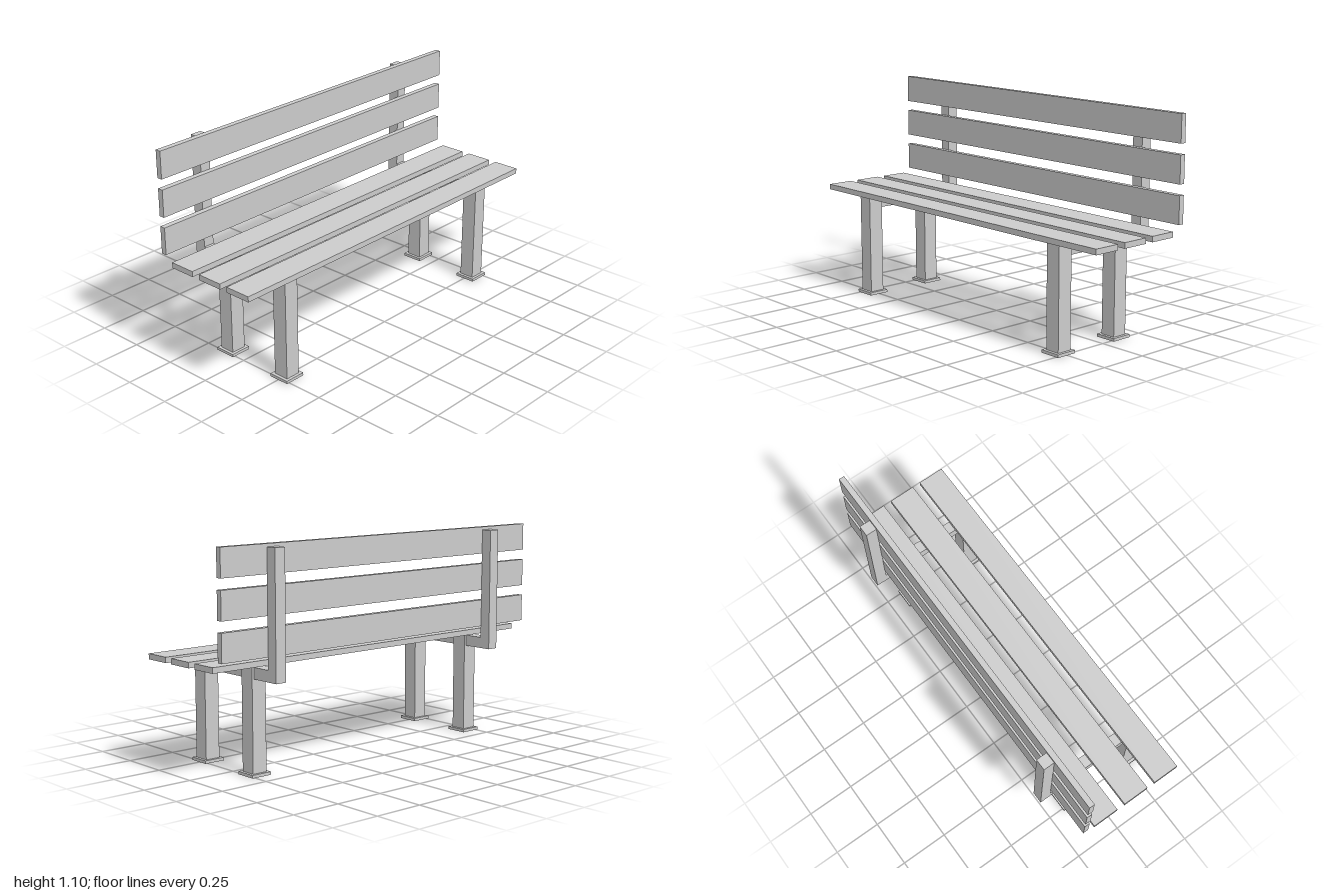
import * as THREE from 'three';

export function createModel() {
  const bench = new THREE.Group();
  bench.name = 'bench';
  const material = new THREE.MeshStandardMaterial({ color: 0xcccccc, flatShading: true });

  const add = (name, geometry, x, y, z) => {
    const mesh = new THREE.Mesh(geometry, material);
    mesh.name = name;
    mesh.position.set(x, y, z);
    bench.add(mesh);
  };

  // Seat and backrest slats, running the full length along z
  const seatSlat = new THREE.BoxGeometry(0.139, 0.028, 2);
  for (const x of [-0.122, 0.062, 0.245]) add('seatSlat', seatSlat, x, 0.541, 0);
  const backSlat = new THREE.BoxGeometry(0.029, 0.138, 2);
  for (const y of [0.649, 0.839, 1.029]) add('backSlat', backSlat, -0.246, y, 0);

  // L-shaped bracket: seat beam and back post in one piece
  const width = 0.058;
  const outline = [
    [-0.317, 0.464], [0.22, 0.464], [0.22, 0.52],
    [-0.259, 0.52], [-0.259, 1.083], [-0.317, 1.083],
  ].map(([x, y]) => new THREE.Vector2(x, y));
  const bracket = new THREE.ExtrudeGeometry(new THREE.Shape(outline), {
    depth: width, bevelEnabled: false,
  });
  bracket.translate(0, 0, -width / 2);

  // Legs with foot plates at both ends
  const leg = new THREE.BoxGeometry(0.079, 0.507, 0.079);
  const foot = new THREE.BoxGeometry(0.109, 0.015, 0.109);
  for (const z of [-0.71, 0.71]) {
    add('bracket', bracket, 0, 0, z);
    for (const x of [-0.115, 0.254]) {
      add('leg', leg, x, 0.015 + 0.507 / 2, z);
      add('footPlate', foot, x, 0.0075, z);
    }
  }
  return bench;
}
